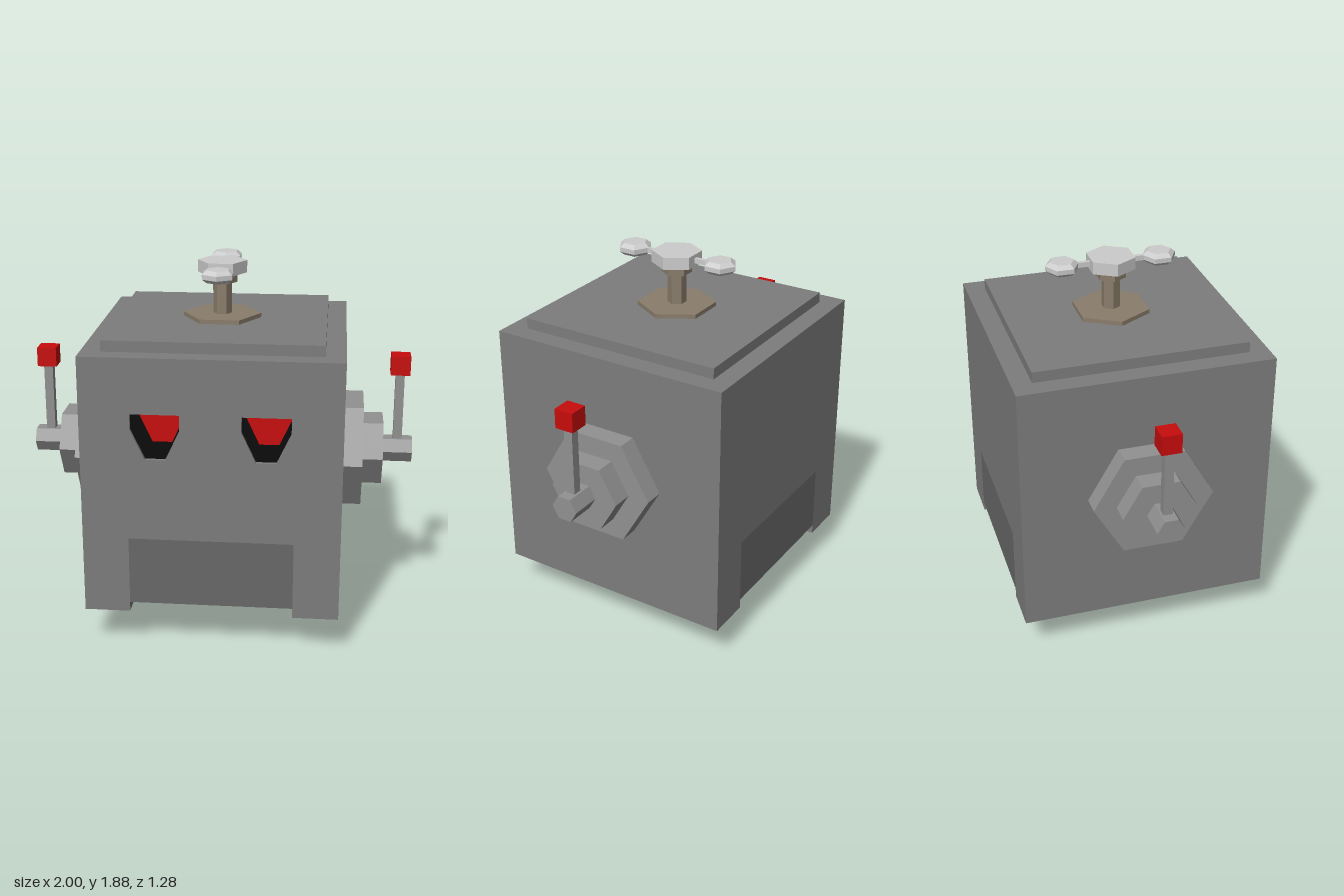
import * as THREE from 'three';

const paint = (color, side = THREE.FrontSide) =>
  new THREE.MeshStandardMaterial({ color, side, flatShading: true });

export function createModel() {
  const model = new THREE.Group();
  const bodyGrey = paint(0x7d7d7d), earGrey = paint(0x919191), panelGrey = paint(0x696969);
  const red = paint(0xc80c0c), brown = paint(0x8a7d6b), pale = paint(0xcccccc);
  const rubber = paint(0x323232), black = paint(0x080808, THREE.BackSide);

  const add = (name, geometry, material, x = 0, y = 0, z = 0, parent = model) => {
    const mesh = new THREE.Mesh(geometry, material);
    mesh.name = name;
    mesh.position.set(x, y, z);
    parent.add(mesh);
    return mesh;
  };
  const box = (w, h, d) => new THREE.BoxGeometry(w, h, d);
  const points = (list) => list.map(([x, y]) => new THREE.Vector2(x, y));

  // Body: square block, open between the two bottom rails
  const outline = [[-0.64, 0.2], [-0.41, 0.2], [-0.41, 0.6], [0.41, 0.6], [0.41, 0.2],
    [0.64, 0.2], [0.64, 1.53], [-0.64, 1.53]];
  const eye = (s) => points([[-0.12, 1.25], [0.12, 1.25], [0.12, 1.17], [0.05, 1.02],
    [-0.05, 1.02], [-0.12, 1.17]].map(([x, y]) => [x + s * 0.27, y]));
  const slice = (name, z0, z1, holes) => {
    const shape = new THREE.Shape(points(outline));
    holes.forEach((h) => shape.holes.push(new THREE.Path(h)));
    add(name, new THREE.ExtrudeGeometry(shape, { depth: z1 - z0, bevelEnabled: false }),
      bodyGrey, 0, 0, z0);
  };
  slice('bodyBack', -0.64, 0.2, []);
  slice('bodyFrame', 0.2, 0.62,
    [points([[-0.57, 0.68], [0.57, 0.68], [0.57, 1.44], [-0.57, 1.44]])]);
  slice('face', 0.62, 0.64, [eye(-1), eye(1)]);
  add('lowerPanel', box(0.82, 0.35, 1.28), panelGrey, 0, 0.425, 0);
  add('topPlate', box(1.08, 0.06, 1.08), bodyGrey, 0, 1.555, 0);

  // Dark hollow behind the eye openings, with red lenses set deep inside
  add('eyeHollow', box(1.1, 0.72, 0.4), black, 0, 1.06, 0.415);
  for (const s of [-1, 1]) {
    add('eyeLens', new THREE.ExtrudeGeometry(new THREE.Shape(eye(s)),
      { depth: 0.03, bevelEnabled: false }), red, 0, 0, 0.34);
  }

  // Wheel: ten-sided, flat side down
  const wheel = new THREE.CylinderGeometry(0.26, 0.26, 0.23, 10);
  wheel.rotateY(Math.PI / 10).rotateZ(Math.PI / 2).rotateX(Math.PI / 2);
  add('wheel', wheel, rubber, 0, 0.247, 0);

  // Ears: stepped hexagons, each with an antenna
  for (const s of [-1, 1]) {
    const ear = new THREE.Group();
    ear.name = s > 0 ? 'leftEar' : 'rightEar';
    model.add(ear);
    for (const [name, r, x0, x1] of [['earBase', 0.305, 0.63, 0.74],
      ['earStep', 0.19, 0.74, 0.845], ['earPin', 0.07, 0.845, 1]]) {
      const g = new THREE.CylinderGeometry(r, r, x1 - x0, 6).rotateZ(Math.PI / 2);
      add(name, g, earGrey, s * (x0 + x1) / 2, 0.893, 0, ear);
    }
    add('antennaRod', box(0.046, 0.37, 0.046), earGrey, s * 0.923, 1.13, 0, ear);
    add('antennaTip', box(0.1, 0.1, 0.1), red, s * 0.923, 1.355, 0, ear);
  }

  // Rotor mast and hub
  for (const [name, r, y0, y1, mat] of [['mastBase', 0.2, 1.58, 1.607, brown],
    ['mast', 0.048, 1.6, 1.77, brown], ['mastCollar', 0.077, 1.768, 1.82, brown],
    ['rotorHub', 0.126, 1.817, 1.88, pale]]) {
    const g = new THREE.CylinderGeometry(r, r, y1 - y0, 6).rotateY(Math.PI / 6);
    add(name, g, mat, 0, (y0 + y1) / 2, 0);
  }

  // Rotor blades: bevelled hexagons on thin necks
  const bladeProfile = points([[0, -0.031], [0.062, -0.031], [0.086, -0.012],
    [0.086, 0.012], [0.062, 0.031], [0, 0.031]]);
  for (const s of [-1, 1]) {
    add('rotorBlade', new THREE.LatheGeometry(bladeProfile, 6), pale, 0, 1.849, s * 0.25);
    add('bladeNeck', box(0.02, 0.026, 0.1), pale, 0, 1.849, s * 0.14);
  }
  return model;
}
